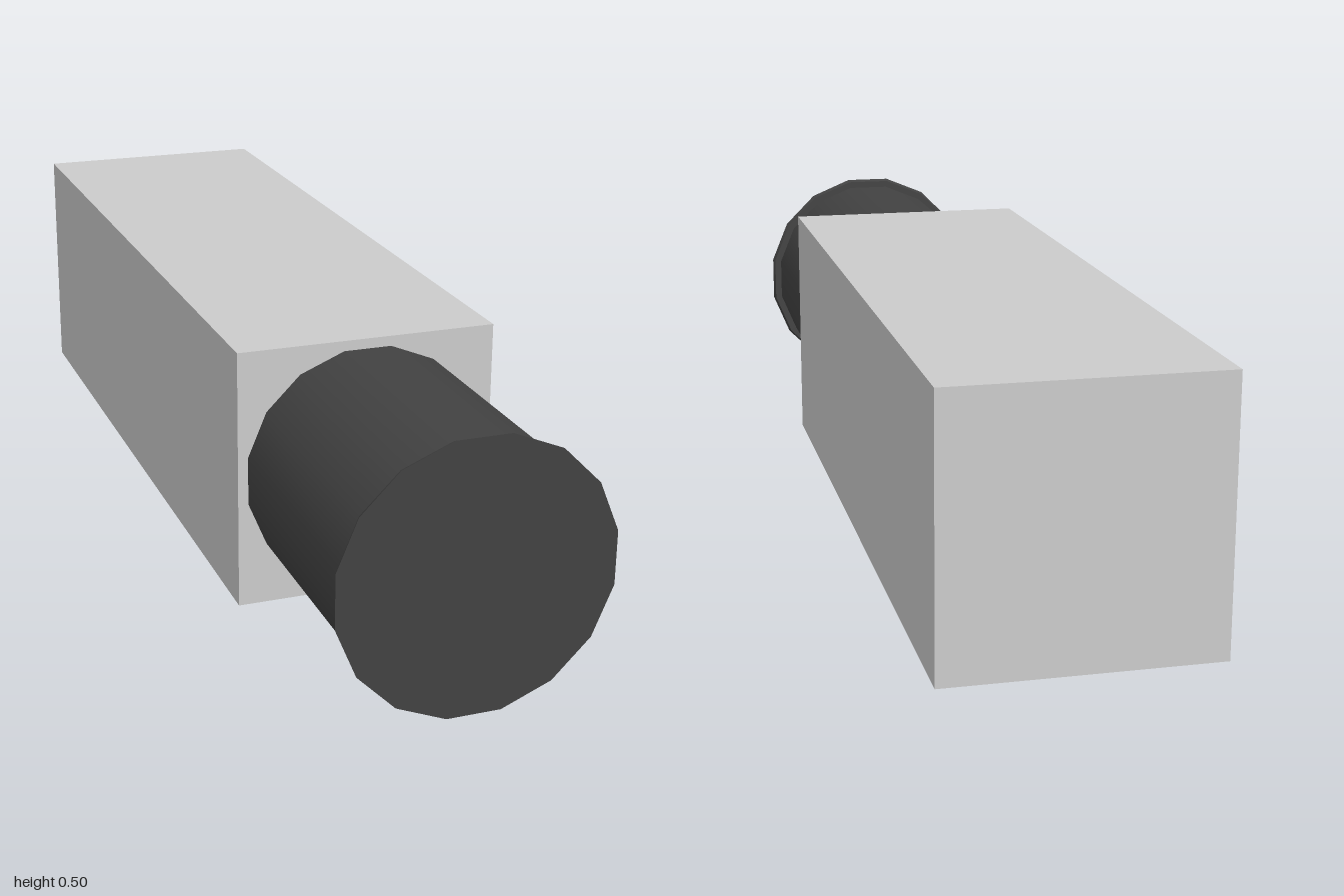
import * as THREE from 'three';

const SIDES = 16;

export function createModel() {
  const group = new THREE.Group();
  const grey = new THREE.MeshStandardMaterial({ color: 0xcccccc });
  const dark = new THREE.MeshStandardMaterial({ color: 0x424242 });

  const add = (name, geometry, material, z) => {
    const mesh = new THREE.Mesh(geometry, material);
    mesh.name = name;
    mesh.position.set(0, 0.25, z);
    group.add(mesh);
  };

  // Cylinder along z, turned so that a flat side faces up; +y end becomes the front
  const tube = (frontRadius, backRadius, length) =>
    new THREE.CylinderGeometry(frontRadius, backRadius, length, SIDES)
      .rotateY(Math.PI / SIDES)
      .rotateX(Math.PI / 2);

  // Long square housing
  add('body', new THREE.BoxGeometry(0.5, 0.5, 1.5), grey, -0.25);

  // Smooth-sided barrel at the front
  add('lensBarrel', tube(0.235, 0.235, 0.49), dark, 0.745);

  // Thin flared rim closing the barrel
  add('lensRim', tube(0.2545, 0.25, 0.01), dark, 0.995);

  return group;
}
